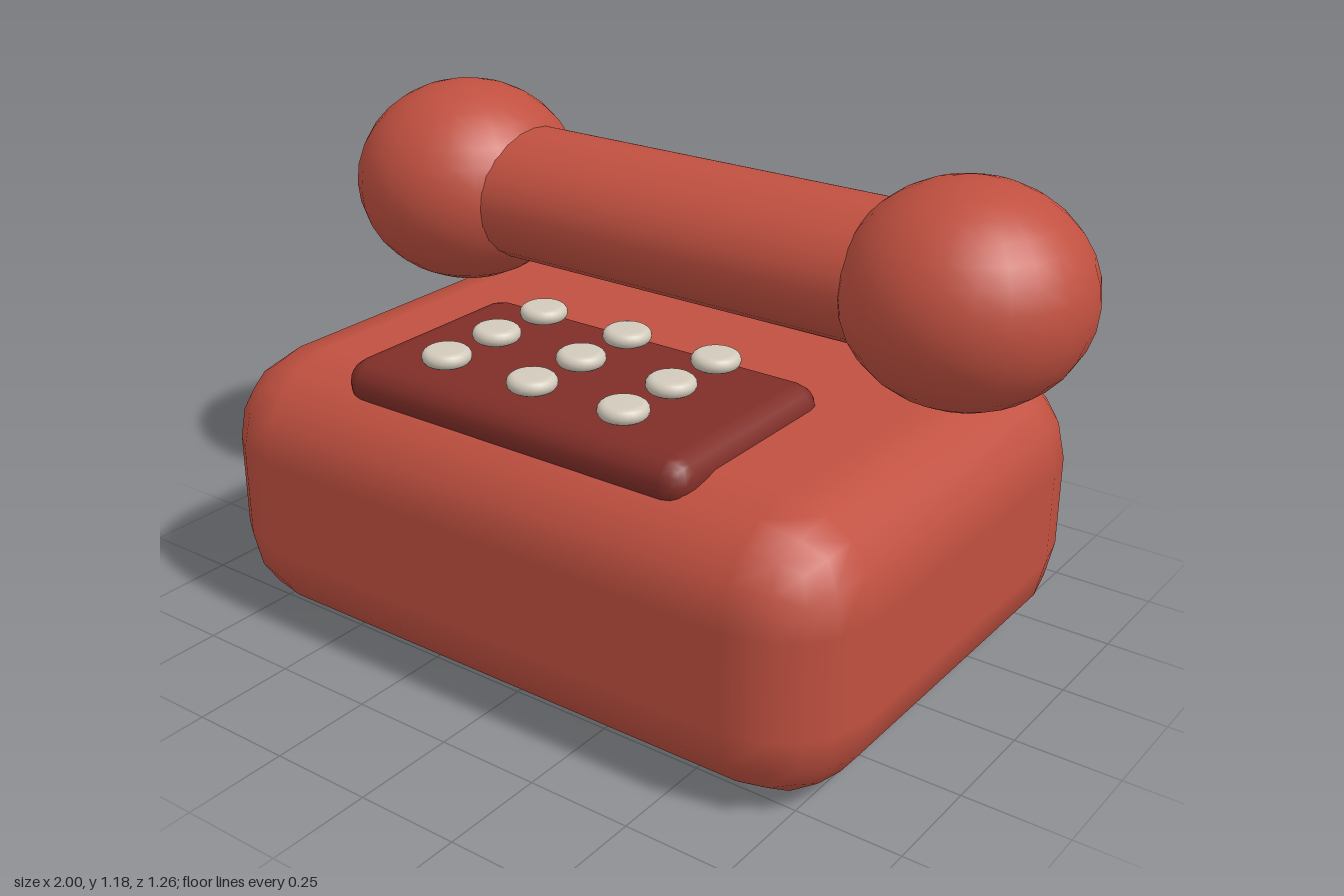
import * as THREE from 'three';
import { RoundedBoxGeometry } from 'three/addons/geometries/RoundedBoxGeometry.js';

const red = new THREE.MeshStandardMaterial({ color: 0xc05040 });
const darkRed = new THREE.MeshStandardMaterial({ color: 0x802e28 });
const cream = new THREE.MeshStandardMaterial({ color: 0xd2cabb });

function addPart(parent, name, geometry, material, x, y, z) {
  const mesh = new THREE.Mesh(geometry, material);
  mesh.name = name;
  mesh.position.set(x, y, z);
  parent.add(mesh);
  return mesh;
}

// Flat disc with a fully rounded rim
function roundedDisc(radius, halfHeight) {
  const profile = [new THREE.Vector2(0, -halfHeight)];
  for (let i = 0; i <= 8; i++) {
    const a = -Math.PI / 2 + (i / 8) * Math.PI;
    profile.push(new THREE.Vector2(
      radius - halfHeight + Math.cos(a) * halfHeight,
      Math.sin(a) * halfHeight));
  }
  profile.push(new THREE.Vector2(0, halfHeight));
  return new THREE.LatheGeometry(profile, 24);
}

export function createModel() {
  const phone = new THREE.Group();
  phone.name = 'telephone';

  // Body
  addPart(phone, 'base', new RoundedBoxGeometry(1.726, 0.666, 1.256, 2, 0.22), red, 0, 0.325, 0);

  // Raised key plate on the front half of the top
  addPart(phone, 'keyPlate', new RoundedBoxGeometry(0.95, 0.114, 0.55, 2, 0.055), darkRed, 0, 0.65, 0.258);

  // Three by three grid of keys hovering above the plate
  const keys = new THREE.Group();
  keys.name = 'keys';
  const keyGeometry = roundedDisc(0.057, 0.018);
  for (const z of [0.08, 0.25, 0.42]) {
    for (const x of [-0.248, 0, 0.248]) addPart(keys, 'key', keyGeometry, cream, x, 0.737, z);
  }
  phone.add(keys);

  // Handset: oval grip with a slightly flattened ball at each end
  const handset = new THREE.Group();
  handset.name = 'handset';
  handset.position.set(0, 0.917, -0.19);
  const gripGeometry = new THREE.CylinderGeometry(1, 1, 1.24, 24);
  gripGeometry.rotateZ(Math.PI / 2);
  addPart(handset, 'grip', gripGeometry, red, 0, 0, -0.005).scale.set(1, 0.165, 0.198);
  const ballGeometry = new THREE.SphereGeometry(0.285, 24, 16);
  for (const side of [-1, 1]) {
    const name = side > 0 ? 'leftEarpiece' : 'rightMouthpiece';
    addPart(handset, name, ballGeometry, red, side * 0.715, 0, 0).scale.y = 0.895;
  }
  phone.add(handset);

  return phone;
}
